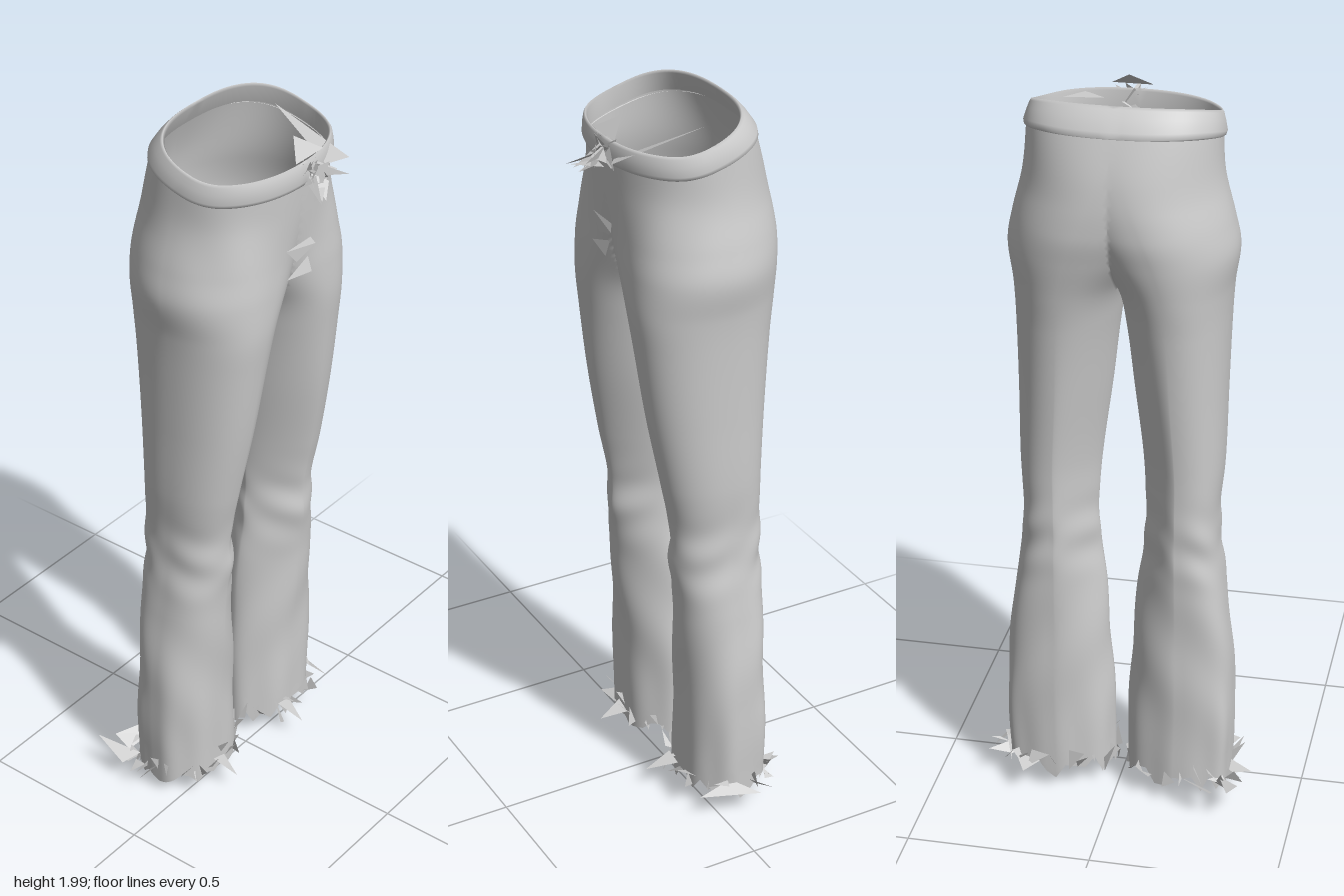
import * as THREE from 'three';
import { mergeVertices } from 'three/addons/utils/BufferGeometryUtils.js';

const COLS = 96;
const material = new THREE.MeshStandardMaterial({ color: 0xcccccc, side: THREE.DoubleSide });
const { smoothstep, lerp } = THREE.MathUtils;

// Seeded random numbers
function makeRandom(seed) {
  return () => {
    seed = (seed * 16807) % 2147483647;
    return seed / 2147483647;
  };
}

// Leg section by height: [y, inner x, outer x, front z, back z, inner squareness, outer back squareness].
// A negative inner x means that the two legs have merged into the seat.
const PROFILE = [
  [0.07, 0.018, 0.31, 0.042, -0.175, 1.9, 3.2],
  [0.30, 0.022, 0.315, 0.044, -0.175, 1.8, 3.2],
  [0.60, 0.042, 0.29, 0.058, -0.175, 1.6, 3],
  [0.76, 0.06, 0.268, 0.074, -0.178, 1.45, 2.8],
  [0.86, 0.064, 0.263, 0.074, -0.178, 1.4, 2.6],
  [1.00, 0.055, 0.272, 0.10, -0.18, 1.45, 2.4],
  [1.20, 0.03, 0.275, 0.135, -0.194, 1.6, 2.25],
  [1.40, 0.008, 0.28, 0.16, -0.212, 1.9, 2.1],
  [1.50, -0.012, 0.286, 0.17, -0.226, 2.1, 2],
  [1.60, -0.07, 0.299, 0.17, -0.242, 2.3, 1.9],
  [1.68, -0.115, 0.285, 0.168, -0.25, 2.3, 1.9],
  [1.80, -0.185, 0.256, 0.17, -0.236, 2.2, 2],
  [1.91, -0.247, 0.247, 0.175, -0.188, 2.5, 2.5],
];

// Waistband: up the outside, over the rim and down the inside
const BAND = [
  [1.88, -0.247, 0.247, 0.174, -0.199],
  [1.884, -0.253, 0.253, 0.18, -0.203],
  [1.895, -0.256, 0.256, 0.184, -0.199],
  [1.92, -0.25, 0.25, 0.183, -0.179],
  [1.94, -0.244, 0.244, 0.179, -0.162],
  [1.947, -0.24, 0.24, 0.174, -0.155],
  [1.941, -0.236, 0.236, 0.168, -0.15],
  [1.89, -0.241, 0.241, 0.168, -0.177],
].map((row) => [...row, 2.5, 2.5]);

// Smooth (Hermite) lookup in the profile
function sectionAt(y) {
  let i = 0;
  while (i < PROFILE.length - 2 && y > PROFILE[i + 1][0]) i++;
  const last = PROFILE.length - 1;
  const a = PROFILE[i], b = PROFILE[i + 1];
  const before = PROFILE[Math.max(i - 1, 0)], after = PROFILE[Math.min(i + 2, last)];
  const h = b[0] - a[0], t = (y - a[0]) / h, t2 = t * t, t3 = t2 * t;
  return a.map((v, k) => {
    if (k === 0) return y;
    const m0 = ((b[k] - before[k]) / (b[0] - before[0])) * h;
    const m1 = ((after[k] - v) / (after[0] - a[0])) * h;
    return (2 * t3 - 3 * t2 + 1) * v + (t3 - 2 * t2 + t) * m0 +
      (3 * t2 - 2 * t3) * b[k] + (t3 - t2) * m1;
  });
}

// Outward push of the cloth: slanting gathers at the knee, drape below, soft creases at the hips
function fold(a, y) {
  const bump = (c, w) => Math.exp(-(((y - c) / w) ** 2));
  return 0.004 * bump(0.78, 0.1) * Math.sin(y * 45 + 3 * Math.sin(a + 0.6)) * Math.sin(a * 2 + 0.5) +
    0.003 * bump(0.45, 0.25) * Math.sin(y * 18 + a * 3) +
    0.003 * bump(0.12, 0.2) * Math.sin(a * 7) +
    0.003 * bump(1.75, 0.12) * Math.sin(a * 6 + y * 16) * Math.max(0, Math.sin(a));
}

function pointOn([y, xi, xo, zf, zb, inner, outerBack], a, amount) {
  const c = Math.cos(a), s = Math.sin(a);
  const outer = s > 0 ? 2.2 : outerBack;
  const e = 2 / (c < 0 ? inner : outer);
  const out = amount * fold(a, y);
  const x = (xi + xo) / 2 + ((xo - xi) / 2 + out) * Math.sign(c) * Math.abs(c) ** e;
  const z = (zf + zb) / 2 + ((zf - zb) / 2 + out) * Math.sign(s) * Math.abs(s) ** e;
  // The waist is higher at the back
  const rise = smoothstep(y, 1.75, 1.93) * (0.068 * smoothstep(-z, -0.1, 0.2) - 0.012);
  return [x, y + rise, z];
}

// One ring of a half, cut off cleanly at the middle plane
function ringOf(row, amount) {
  const raw = Array.from({ length: COLS }, (_, j) => pointOn(row, (j / COLS) * Math.PI * 2, amount));
  return raw.map((p, j) => {
    if (p[0] > 0) return p;
    const n = [raw[(j + 1) % COLS], raw[(j + COLS - 1) % COLS]].find((q) => q[0] > 0);
    const t = n ? p[0] / (p[0] - n[0]) : 0;
    return [0, n ? lerp(p[1], n[1], t) : p[1], n ? lerp(p[2], n[2], t) : p[2]];
  });
}

// Skins both mirrored halves; the wall on the middle plane is left out
function skin(rows, amount, ragged) {
  const positions = [];
  for (const side of [1, -1]) {
    const random = makeRandom(side > 0 ? 91 : 457);
    const teeth = Array.from({ length: COLS / 3 }, () => (random() - 0.55) * ragged);
    const jag = (j) => {
      const i = Math.floor(j / 3), t = (j % 3) / 3;
      return lerp(teeth[i], teeth[(i + 1) % teeth.length], t);
    };
    const grid = rows.map((row) => ringOf(row, amount).map(([x, y, z], j) =>
      [x * side, y + jag(j) * (1 - smoothstep(y, 0.07, 0.14)), z]));
    for (let i = 0; i < rows.length - 1; i++) {
      for (let j = 0; j < COLS; j++) {
        const k = (j + 1) % COLS;
        const a = grid[i][j], b = grid[i + 1][j], c = grid[i + 1][k], d = grid[i][k];
        for (const [p, q, r] of [[a, b, c], [a, c, d]]) {
          if (p[0] === 0 && q[0] === 0 && r[0] === 0) continue;
          positions.push(...p, ...(side > 0 ? [...q, ...r] : [...r, ...q]));
        }
      }
    }
  }
  const raw = new THREE.BufferGeometry();
  raw.setAttribute('position', new THREE.Float32BufferAttribute(positions, 3));
  const geometry = mergeVertices(raw, 1e-5);
  geometry.computeVertexNormals();
  return geometry;
}

// Loose triangular scraps; each is three corner points
function scraps(triangles) {
  const geometry = new THREE.BufferGeometry();
  geometry.setAttribute('position', new THREE.Float32BufferAttribute(triangles.flat(2), 3));
  geometry.computeVertexNormals();
  return geometry;
}

// Frayed scraps around one hem
function hemScraps(side) {
  const random = makeRandom(side > 0 ? 1234 : 7321);
  const spread = (r) => (random() - 0.5) * r;
  const triangles = [];
  for (let n = 0; n < 26; n++) {
    const a = ((n + random()) / 26) * Math.PI * 2;
    const [x, , z] = pointOn(PROFILE[0], a, 1);
    const y = 0.085 + spread(0.03);
    const reach = 0.01 + random() * 0.035;
    const inward = Math.cos(a) < -0.3 ? 0.2 : 1;
    triangles.push([
      [side * x, y + spread(0.05), z],
      [side * Math.max(x + spread(0.11), 0.005), y + spread(0.09), z + spread(0.08)],
      [side * (x + Math.cos(a) * reach * inward), y + spread(0.1), z + Math.sin(a) * reach],
    ]);
  }
  return triangles;
}

export function createModel() {
  const group = new THREE.Group();
  const add = (name, geometry) => {
    const mesh = new THREE.Mesh(geometry, material);
    mesh.name = name;
    group.add(mesh);
  };

  // Trousers: flared legs joined at the seat
  const rows = Array.from({ length: 161 }, (_, i) => sectionAt(0.068 + (1.895 - 0.068) * (i / 160)));
  add('trouserLegsAndSeat', skin(rows, 1, 0.06));
  add('waistband', skin(BAND, 0, 0));

  // Frayed hems
  add('leftHemFraying', scraps(hemScraps(1)));
  add('rightHemFraying', scraps(hemScraps(-1)));

  // Long scraps standing out from the hems
  add('longHemScraps', scraps([
    [[-0.29, 0.08, -0.15], [-0.345, 0.07, -0.17], [-0.33, 0.11, -0.27]],
    [[-0.2, 0.08, -0.18], [-0.28, 0.06, -0.2], [-0.28, 0.09, -0.25]],
    [[-0.2, 0.08, -0.18], [-0.28, 0.09, -0.25], [-0.2, 0.1, -0.21]],
    [[-0.31, 0.09, -0.07], [-0.3, 0.06, -0.1], [-0.37, 0.07, -0.09]],
    [[0.21, 0.08, -0.17], [0.28, 0.1, -0.17], [0.245, 0.08, -0.23]],
    [[0.29, 0.09, -0.08], [0.3, 0.06, -0.12], [0.365, 0.08, -0.14]],
    [[0.31, 0.08, 0.06], [0.3, 0.1, -0.04], [0.36, 0.07, -0.105]],
    [[-0.03, 0.08, -0.05], [-0.01, 0.07, -0.02], [-0.015, 0.005, -0.03]],
    [[0.1, 0.1, 0.04], [0.15, 0.09, 0.04], [0.11, 0.07, 0.12]],
    [[-0.2, 0.1, 0.03], [-0.15, 0.08, 0.04], [-0.18, 0.06, 0.11]],
  ]));

  // Crumpled drawstring knot at the front of the waist
  const random = makeRandom(2024);
  const near = (x, y, z, r) => [x, y, z].map((v) => v + (random() - 0.5) * r);
  const knot = Array.from({ length: 18 }, () => [
    near(0.025, 1.9, 0.185, 0.05), near(0.03, 1.9, 0.195, 0.09), near(0.03, 1.9, 0.2, 0.11),
  ]);
  knot.push(
    [[-0.035, 1.945, 0.18], [0.075, 1.945, 0.18], [0.02, 1.985, 0.13]],
    [[0.08, 1.9, 0.185], [0.13, 1.91, 0.22], [0.155, 1.97, -0.03]],
    [[0.0, 1.88, 0.19], [0.02, 1.9, 0.2], [-0.035, 1.86, 0.26]],
    [[0.03, 1.89, 0.19], [0.04, 1.92, 0.19], [0.075, 1.9, 0.26]],
    [[0.04, 1.9, 0.19], [0.05, 1.92, 0.18], [0.11, 1.88, 0.2]],
  );
  add('drawstringKnot', scraps(knot));

  // Creased scraps over the fly
  add('flyScraps', scraps([
    [[-0.06, 1.71, 0.172], [0.04, 1.71, 0.172], [0.05, 1.69, 0.18]],
    [[-0.06, 1.71, 0.172], [0.05, 1.69, 0.18], [-0.02, 1.665, 0.175]],
    [[-0.06, 1.63, 0.175], [0.03, 1.66, 0.172], [0.03, 1.62, 0.185]],
  ]));

  return group;
}
